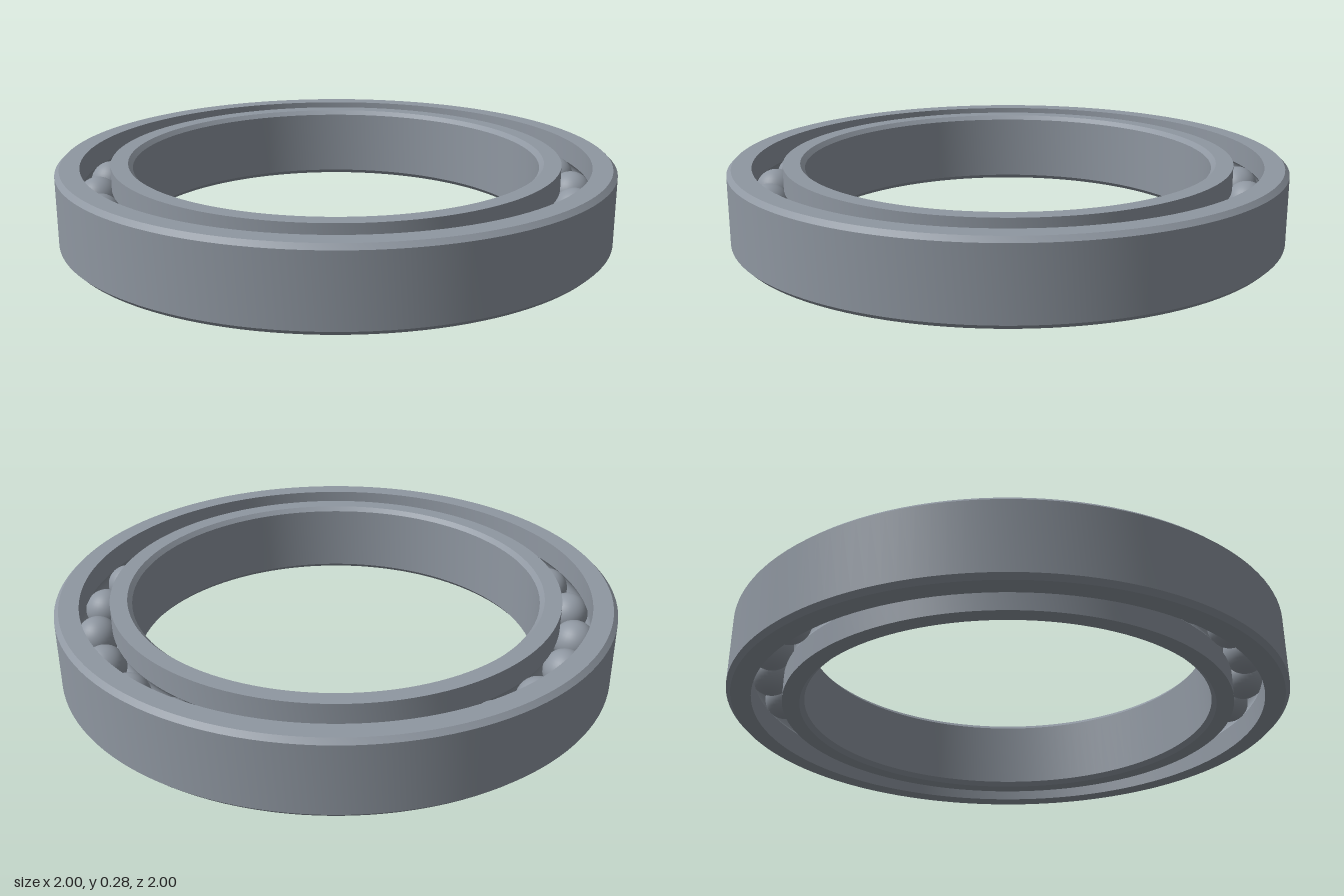
import * as THREE from 'three';
import { toCreasedNormals } from 'three/addons/utils/BufferGeometryUtils.js';

const HEIGHT = 0.277, MID = HEIGHT / 2, CHAMFER = 0.016;
const PITCH = 0.861, BALL_RADIUS = 0.075, BALLS = 25;

// Ring section: chamfered plain wall on one side, ball groove on the other.
// side is +1 for the outer ring and -1 for the inner ring.
function ringGeometry(wall, shoulder, side) {
  const inset = wall - side * CHAMFER;
  const points = [
    [shoulder, 0], [inset, 0], [wall, CHAMFER],
    [wall, HEIGHT - CHAMFER], [inset, HEIGHT], [shoulder, HEIGHT],
  ];
  // circular raceway from the upper shoulder to the lower one
  const half = Math.acos(Math.abs(shoulder - PITCH) / BALL_RADIUS);
  const steps = 12;
  for (let i = 0; i <= steps; i++) {
    const a = half * (1 - 2 * i / steps);
    points.push([PITCH + side * BALL_RADIUS * Math.cos(a), MID + BALL_RADIUS * Math.sin(a)]);
  }
  points.push([shoulder, 0]);
  // keep the loop counter-clockwise so that faces point outward
  if (side < 0) points.reverse();
  const profile = points.map(([r, y]) => new THREE.Vector2(r, y));
  return toCreasedNormals(new THREE.LatheGeometry(profile, 128), Math.PI / 6);
}

export function createModel() {
  const model = new THREE.Group();
  model.name = 'ballBearing';
  const steel = new THREE.MeshStandardMaterial({ color: 0x8f97a1 });
  steel.name = 'steel';

  const add = (name, geometry, parent = model) => {
    const mesh = new THREE.Mesh(geometry, steel);
    mesh.name = name;
    parent.add(mesh);
    return mesh;
  };

  // races
  add('outerRing', ringGeometry(1, 0.914, 1));
  add('innerRing', ringGeometry(0.731, 0.808, -1));

  // balls, evenly spaced in the groove
  const balls = new THREE.Group();
  balls.name = 'balls';
  model.add(balls);
  const sphere = new THREE.SphereGeometry(BALL_RADIUS, 32, 20);
  for (let i = 0; i < BALLS; i++) {
    const a = THREE.MathUtils.degToRad(1.2) + i * 2 * Math.PI / BALLS;
    add('ball', sphere, balls).position.set(PITCH * Math.sin(a), MID, -PITCH * Math.cos(a));
  }
  return model;
}
